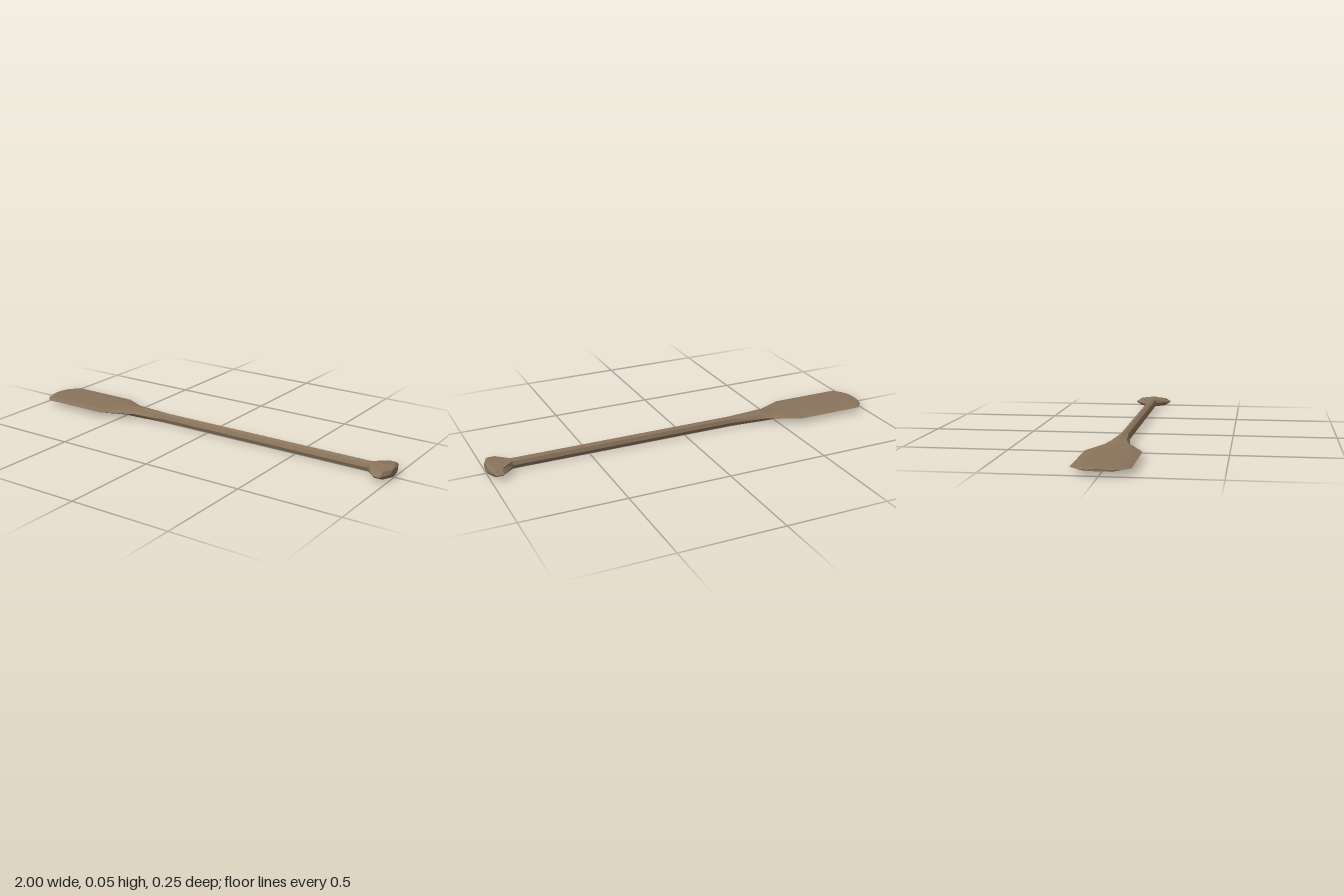
import * as THREE from 'three';

const SIDES = 8;
const CENTRE_Y = 0.027;
const wood = new THREE.MeshStandardMaterial({ color: 0x8a745c, flatShading: true });

// Lofts stretched octagons along x; each station is [x, halfWidth, halfHeight].
function loft(name, stations, capStart, capEnd) {
  const positions = [];
  const index = [];
  for (const [x, w, h] of stations) {
    for (let j = 0; j < SIDES; j++) {
      const a = (j / SIDES) * Math.PI * 2;
      positions.push(x, CENTRE_Y + h * Math.sin(a), w * Math.cos(a));
    }
  }
  for (let i = 0; i < stations.length - 1; i++) {
    for (let j = 0; j < SIDES; j++) {
      const a = i * SIDES + j;
      const b = i * SIDES + ((j + 1) % SIDES);
      index.push(a, a + SIDES, b, b, a + SIDES, b + SIDES);
    }
  }
  const last = (stations.length - 1) * SIDES;
  for (let j = 1; j < SIDES - 1; j++) {
    if (capStart) index.push(0, j, j + 1);
    if (capEnd) index.push(last, last + j + 1, last + j);
  }
  const geometry = new THREE.BufferGeometry();
  geometry.setAttribute('position', new THREE.Float32BufferAttribute(positions, 3));
  geometry.setIndex(index);
  geometry.computeVertexNormals();
  const mesh = new THREE.Mesh(geometry, wood);
  mesh.name = name;
  return mesh;
}

export function createModel() {
  const group = new THREE.Group();
  group.name = 'paddle';

  // Thin flat blade with a rounded tip and tapering shoulders
  group.add(loft('blade', [
    [-1, 0.05, 0.006],
    [-0.985, 0.092, 0.008],
    [-0.95, 0.127, 0.009],
    [-0.6, 0.127, 0.009],
    [-0.48, 0.073, 0.015],
    [-0.435, 0.049, 0.025],
  ], true, false));

  // Octagonal shaft, flaring into the blade
  group.add(loft('shaft', [
    [-0.435, 0.049, 0.025],
    [-0.255, 0.025, 0.026],
    [0.88, 0.025, 0.026],
  ], false, false));

  // Flared grip at the other end
  group.add(loft('grip', [
    [0.88, 0.025, 0.026],
    [0.94, 0.1, 0.026],
    [0.975, 0.1, 0.026],
    [0.994, 0.05, 0.025],
    [1, 0.036, 0.02],
  ], false, true));

  return group;
}
